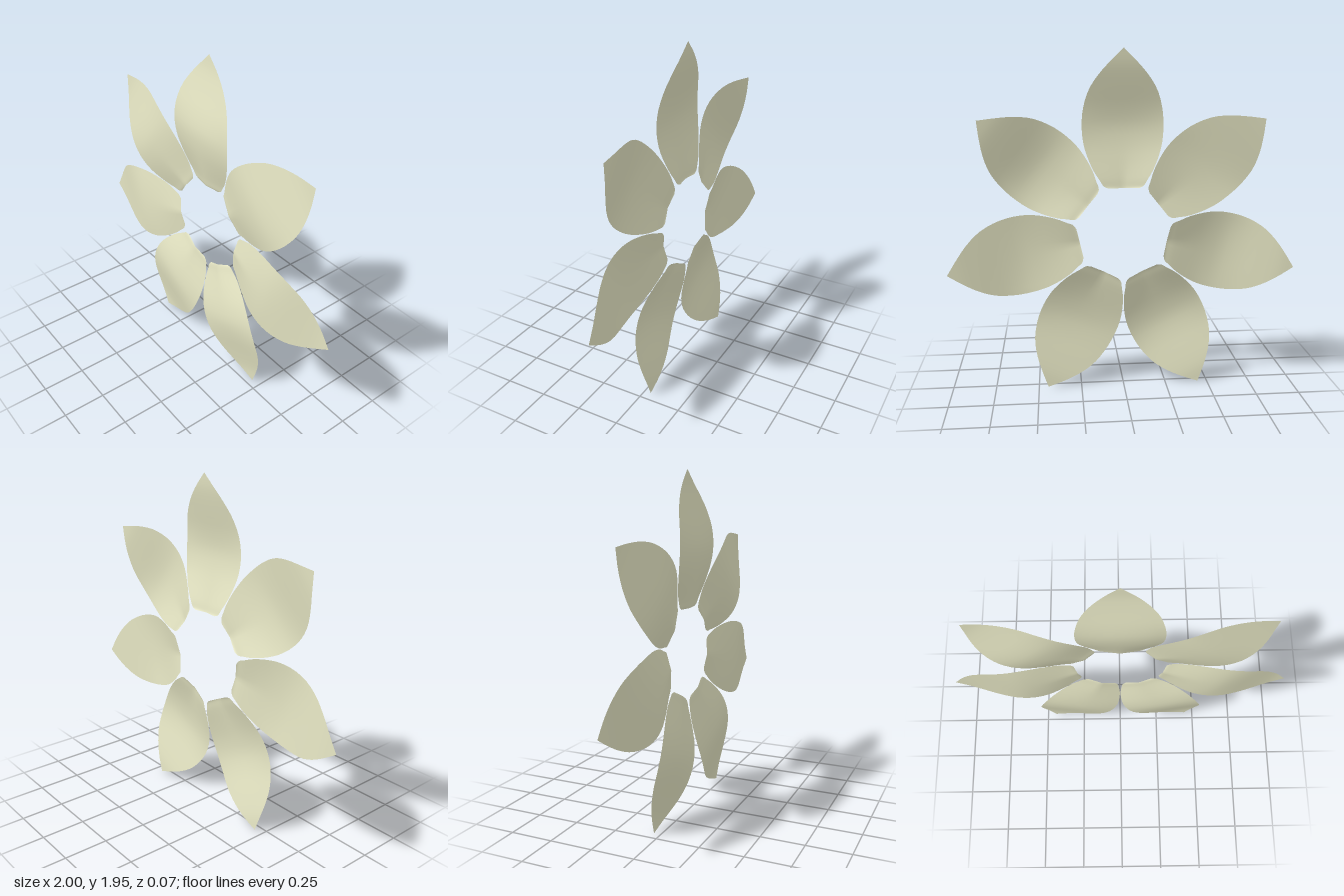
import * as THREE from 'three';

const PETALS = 7, CENTRE_Y = 0.924, ROWS = 28, COLS = 12;

// stations along a petal: [radius, half width, ridge z, drop of z at the edges]
const stations = [
  [0.256, 0.085, -0.025, 0.013],
  [0.268, 0.112, -0.022, 0.014],
  [0.30, 0.133, -0.016, 0.016],
  [0.346, 0.163, -0.006, 0.017],
  [0.41, 0.193, 0.008, 0.016],
  [0.50, 0.221, 0.025, 0.014],
  [0.60, 0.230, 0.033, 0.012],
  [0.70, 0.221, 0.020, 0.004],
  [0.80, 0.190, -0.003, 0],
  [0.88, 0.139, -0.021, 0],
  [0.95, 0.077, -0.034, 0],
  [1.026, 0, -0.040, 0],
];

// smooth curves through the stations
const outline = new THREE.CatmullRomCurve3(stations.map(([r, w]) => new THREE.Vector3(w, r, 0)), false, 'centripetal');
const relief = new THREE.CatmullRomCurve3(stations.map(([r, , z, d]) => new THREE.Vector3(d, r, z)), false, 'centripetal');

// one petal pointing up, as rows of cross-sections
function petalGeometry() {
  const pos = [], index = [];
  for (let i = 0; i <= ROWS; i++) {
    const o = outline.getPoint(i / ROWS), s = relief.getPoint(i / ROWS);
    const round = 1 + THREE.MathUtils.smoothstep(o.y, 0.25, 0.6);
    for (let j = 0; j <= COLS; j++) {
      const u = (j / COLS) * 2 - 1;
      pos.push(u * o.x, o.y, s.z - s.x * Math.abs(u) ** round);
      if (i < ROWS && j < COLS) {
        const a = i * (COLS + 1) + j, b = a + COLS + 1;
        index.push(a, a + 1, b);
        if (i < ROWS - 1) index.push(a + 1, b + 1, b);
      }
    }
  }
  const geo = new THREE.BufferGeometry();
  geo.setAttribute('position', new THREE.Float32BufferAttribute(pos, 3));
  geo.setIndex(index);
  geo.computeVertexNormals();
  // the last row meets in a point, so share one normal there
  const n = geo.attributes.normal, last = ROWS * (COLS + 1);
  for (let j = 0; j <= COLS; j++) n.setXYZ(last + j, 0, 0.1, 0.995);
  return geo;
}

export function createModel() {
  const flower = new THREE.Group();
  flower.name = 'flower';
  const material = new THREE.MeshStandardMaterial({ color: 0xe6e6c4, side: THREE.DoubleSide });
  const geometry = petalGeometry();

  // ring of petals
  for (let i = 0; i < PETALS; i++) {
    const petal = new THREE.Mesh(geometry, material);
    petal.name = `petal${i + 1}`;
    petal.position.y = CENTRE_Y;
    petal.rotation.z = (i / PETALS) * Math.PI * 2;
    flower.add(petal);
  }
  return flower;
}
